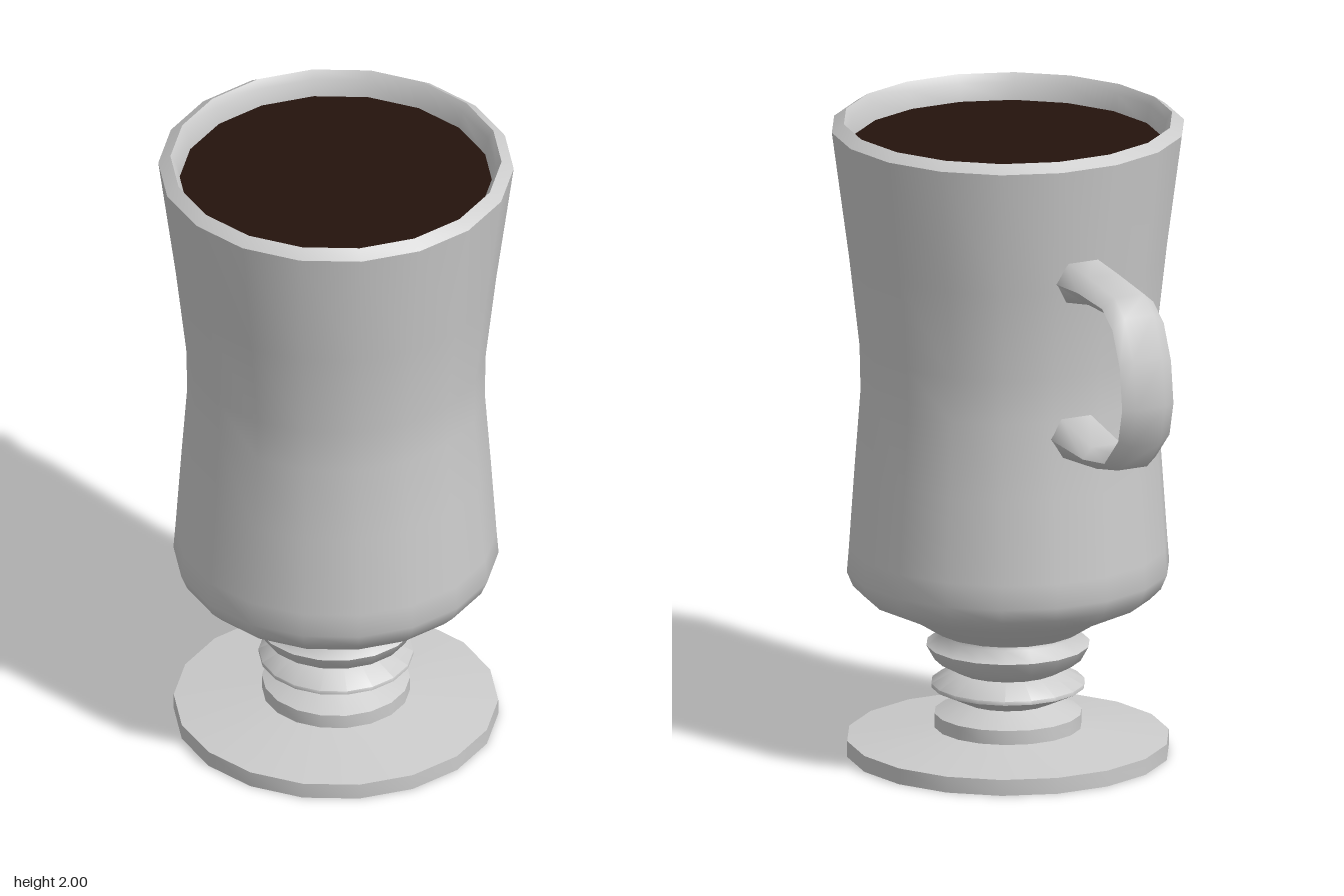
import * as THREE from 'three';
import { toCreasedNormals } from 'three/addons/utils/BufferGeometryUtils.js';

const SIDES = 18;
const CENTRE_Z = 0.2;
const grey = new THREE.MeshStandardMaterial({ color: 0xcccccc });
const coffeeBrown = new THREE.MeshStandardMaterial({ color: 0x24130d });

// Turned part with a vertex on +x and a flat facing the handle.
function turned(name, profile, material) {
  const points = profile.map(([r, y]) => new THREE.Vector2(r, y));
  const lathe = new THREE.LatheGeometry(points, SIDES, Math.PI / SIDES);
  const mesh = new THREE.Mesh(toCreasedNormals(lathe, 1.1), material);
  mesh.name = name;
  mesh.position.z = CENTRE_Z;
  return mesh;
}

// Hexagonal sections strung between the outer and inner edge of the loop.
function handleGeometry(stations) {
  const positions = [], index = [];
  const section = [[0.088, 0.5], [0.05, 0], [-0.05, 0], [-0.088, 0.5], [-0.05, 1], [0.05, 1]];
  const n = section.length;
  for (const [zOut, yOut, zIn, yIn] of stations) {
    for (const [x, t] of section) {
      positions.push(x, THREE.MathUtils.lerp(yOut, yIn, t), THREE.MathUtils.lerp(zOut, zIn, t));
    }
  }
  for (let i = 0; i < stations.length - 1; i++) {
    for (let k = 0; k < n; k++) {
      const a = i * n + k, b = i * n + (k + 1) % n;
      index.push(a, a + n, b, b, a + n, b + n);
    }
  }
  // end caps
  const last = (stations.length - 1) * n;
  for (let k = 1; k < n - 1; k++) {
    index.push(0, k, k + 1, last, last + k + 1, last + k);
  }
  const geometry = new THREE.BufferGeometry();
  geometry.setAttribute('position', new THREE.Float32BufferAttribute(positions, 3));
  geometry.setIndex(index);
  return toCreasedNormals(geometry, 1.2);
}

export function createModel() {
  const model = new THREE.Group();
  model.name = 'footedMug';

  // Disc foot and ringed stem
  model.add(turned('footAndStem', [
    [0, 0], [0.493, 0], [0.493, 0.05], [0.225, 0.083], [0.225, 0.127],
    [0.14, 0.165], [0.235, 0.21], [0.235, 0.222], [0.16, 0.262],
    [0.225, 0.298], [0.25, 0.343], [0.205, 0.375], [0.205, 0.4],
  ], grey));

  // Waisted bowl: outside, rolled rim, then inside down to the floor
  model.add(turned('bowl', [
    [0.19, 0.38], [0.225, 0.392], [0.3, 0.44], [0.44, 0.505], [0.475, 0.54],
    [0.494, 0.585], [0.488, 0.66], [0.47, 0.92], [0.452, 1.16], [0.455, 1.3],
    [0.487, 1.58], [0.54, 1.975], [0.503, 2], [0.486, 1.975],
    [0.475, 1.91], [0.445, 1.58], [0.413, 1.25], [0.43, 0.9], [0.45, 0.6], [0, 0.5],
  ], grey));

  // Drink surface
  model.add(turned('coffee', [[0.477, 1.92], [0, 1.92]], coffeeBrown));

  // Loop handle at the back; each station is outer z, y then inner z, y
  const handle = new THREE.Mesh(handleGeometry([
    [-0.26, 1.675, -0.25, 1.54], [-0.42, 1.66, -0.42, 1.575], [-0.59, 1.64, -0.57, 1.575],
    [-0.655, 1.59, -0.64, 1.525], [-0.71, 1.47, -0.68, 1.43], [-0.732, 1.32, -0.69, 1.32],
    [-0.7, 1.195, -0.67, 1.235], [-0.61, 1.1, -0.58, 1.145], [-0.47, 1.07, -0.44, 1.13],
    [-0.23, 1.047, -0.23, 1.172],
  ]), grey);
  handle.name = 'handle';
  model.add(handle);

  return model;
}
